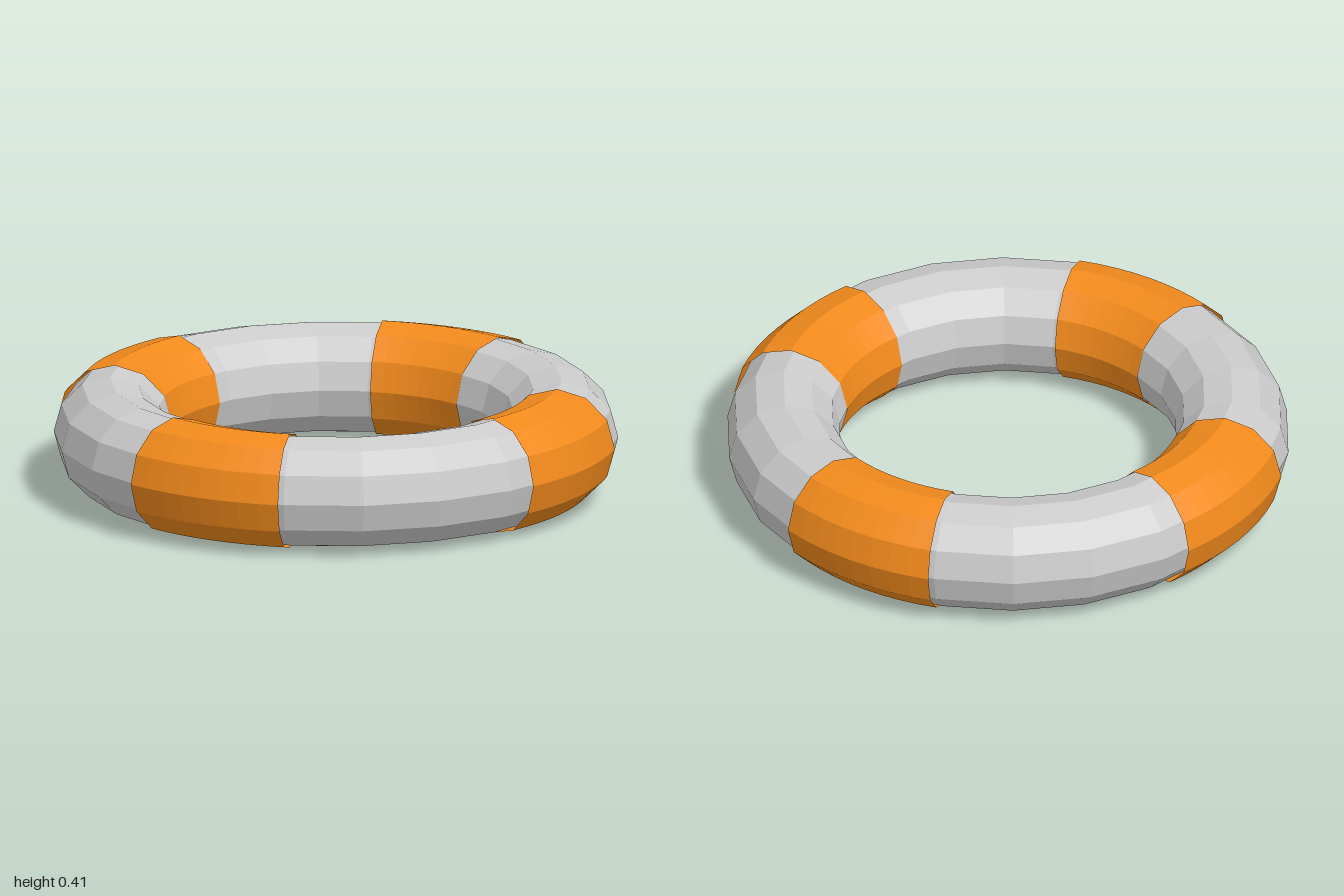
import * as THREE from 'three';

const RING = 0.7937;   // radius of the tube's centre line
const TUBE = 0.1984;   // radius of the float's tube
const BAND = 0.2063;   // radius of the bands wrapped around it
const ARC = 0.6;       // angle each band covers
const START = -0.41;   // angle where the first band begins

export function createModel() {
  const group = new THREE.Group();
  group.name = 'lifebuoy';

  const grey = new THREE.MeshStandardMaterial({ color: 0xcccccc, flatShading: true });
  const orange = new THREE.MeshStandardMaterial({
    color: 0xf28a1c, flatShading: true, side: THREE.DoubleSide,
  });

  // Float ring, lying flat
  const float = new THREE.Mesh(
    new THREE.TorusGeometry(RING, TUBE, 12, 22).rotateX(Math.PI / 2), grey);
  float.name = 'floatRing';
  float.position.y = BAND;
  group.add(float);

  // Four open sleeves around the float, a quarter turn apart
  const sleeve = new THREE.TorusGeometry(RING, BAND, 12, 8, ARC)
    .rotateZ(START).rotateX(Math.PI / 2);
  for (let i = 0; i < 4; i++) {
    const band = new THREE.Mesh(sleeve, orange);
    band.name = `band${i + 1}`;
    band.position.y = BAND;
    band.rotation.y = i * Math.PI / 2;
    group.add(band);
  }
  return group;
}
